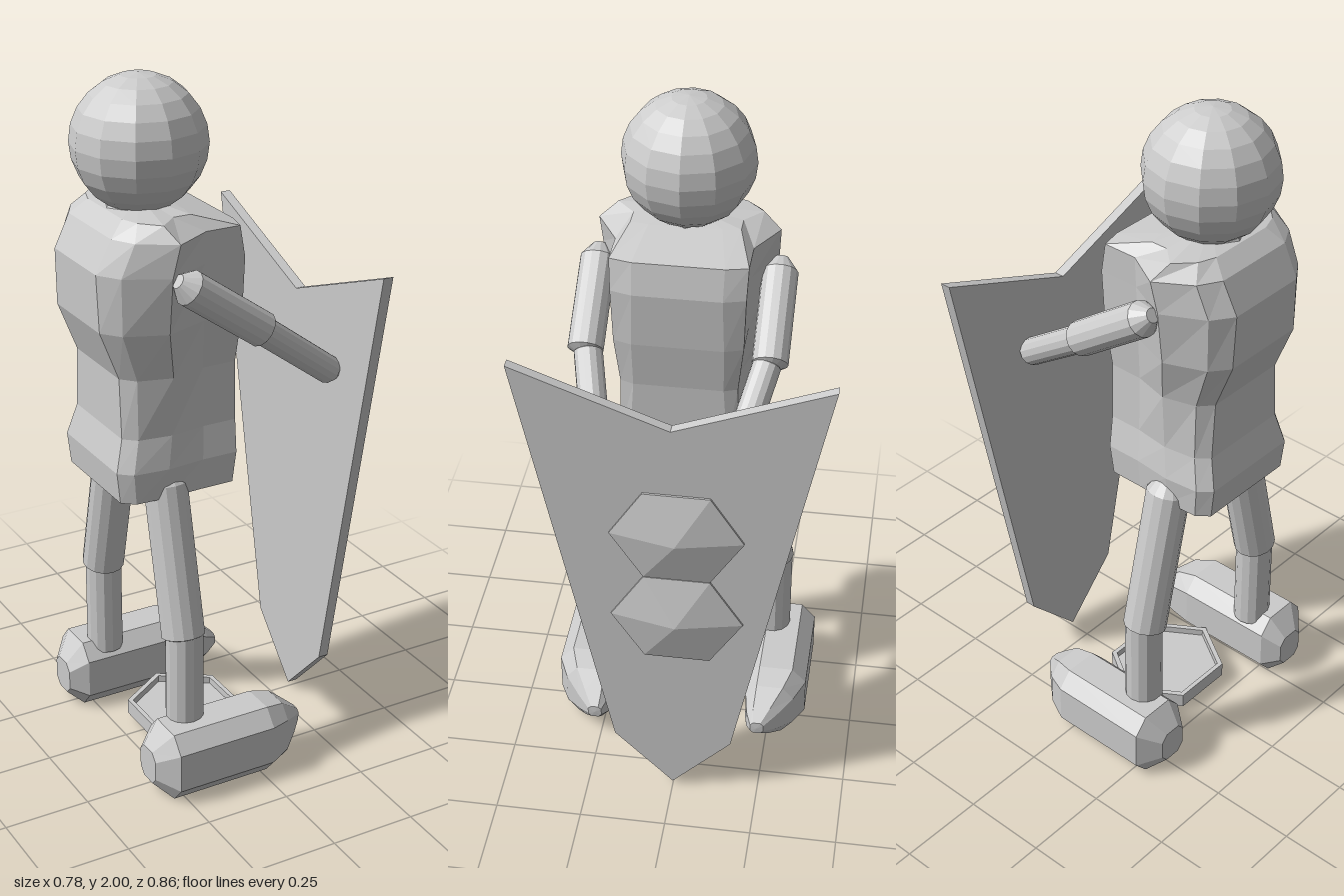
import * as THREE from 'three';

const material = new THREE.MeshStandardMaterial({ color: 0xcccccc, flatShading: true });
const V = (x, y, z) => new THREE.Vector3(x, y, z);

function part(name, geometry) {
  const mesh = new THREE.Mesh(geometry, material);
  mesh.name = name;
  return mesh;
}

// Skin a closed solid through rings of points, each counter-clockwise seen from the far end
function loft(rings, startTip, endTip) {
  const n = rings[0].length, out = [];
  const tri = (...corners) => corners.forEach((c) => out.push(c.x, c.y, c.z));
  for (let r = 0; r + 1 < rings.length; r++) {
    const a = rings[r], b = rings[r + 1];
    for (let i = 0; i < n; i++) {
      const j = (i + 1) % n;
      tri(a[i], a[j], b[j]);
      tri(a[i], b[j], b[i]);
    }
  }
  const first = rings[0], last = rings[rings.length - 1];
  for (let i = 0; i < n; i++) {
    const j = (i + 1) % n;
    tri(startTip, first[j], first[i]);
    tri(endTip, last[i], last[j]);
  }
  const geometry = new THREE.BufferGeometry();
  geometry.setAttribute('position', new THREE.Float32BufferAttribute(out, 3));
  geometry.computeVertexNormals();
  return geometry;
}

// Limb segment from a to b with a tapered cap at each end
function limb(name, a, b, radius, capA, capB) {
  const length = a.distanceTo(b);
  const profile = [[0, 0], [radius * 0.4, 0], [radius, capA], [radius, length - capB], [radius * 0.6, length], [0, length]];
  const mesh = part(name, new THREE.LatheGeometry(profile.map(([r, y]) => new THREE.Vector2(r, y)), 14));
  mesh.position.copy(a);
  mesh.quaternion.setFromUnitVectors(V(0, 1, 0), b.clone().sub(a).normalize());
  return mesh;
}

// Torso: boxy at the hips, pinched at the waist, pointed out to the sides at the shoulders
function torso() {
  // Height, back x, front x, half width, squareness
  const levels = [
    [0.87, -0.345, 0.0, 0.185, 1], [0.96, -0.355, 0.01, 0.195, 0.9], [1.05, -0.33, 0.015, 0.18, 0.8],
    [1.22, -0.33, 0.015, 0.19, 0.5], [1.36, -0.385, 0.03, 0.225, 0.2], [1.52, -0.39, 0.035, 0.245, 0],
    [1.61, -0.345, 0.015, 0.25, 0], [1.65, -0.3, -0.12, 0.2, 0],
  ];
  const rings = levels.map(([y, x0, x1, w, square]) => {
    const face = 0.5 + 0.32 * square, corner = 0.75 + 0.22 * square;
    const half = [[1, face], [0.92, corner], [0.35, corner], [-0.25, 1], [-0.8, corner], [-1, face]];
    const outline = [...half.map(([x, z]) => [x, -z]), ...half.slice().reverse()];
    return outline.map(([x, z]) => V((x0 + x1) / 2 + x * (x1 - x0) / 2, y, 0.028 + z * w));
  });
  return part('torso', loft(rings, V(-0.17, 0.87, 0.028), V(-0.2, 1.67, 0.028)));
}

function foot(name, side) {
  // x, centre height, sideways centre, half height, half width
  const sections = [
    [-0.33, 0.1, 0.275, 0.05, 0.045], [-0.28, 0.108, 0.287, 0.104, 0.091],
    [0.02, 0.108, 0.287, 0.104, 0.091], [0.085, 0.105, 0.275, 0.088, 0.072],
    [0.135, 0.1, 0.257, 0.05, 0.045], [0.17, 0.1, 0.247, 0.02, 0.02],
  ];
  const corners = [[1, 0.55], [0.55, 1], [-0.55, 1], [-1, 0.55], [-1, -0.55], [-0.55, -1], [0.55, -1], [1, -0.55]];
  const rings = sections.map(([x, y, z, h, w]) =>
    corners.map(([u, v]) => V(x, y + u * h, 0.018 + side * z + v * w)));
  return part(name, loft(rings, V(-0.33, 0.1, 0.018 + side * 0.275), V(0.172, 0.1, 0.018 + side * 0.247)));
}

// Hexagon with corners along its first axis, used by the bosses and the tray
function hexagon(radius) {
  return Array.from({ length: 6 }, (_, i) =>
    new THREE.Vector2(radius * Math.cos(i * Math.PI / 3), radius * 0.9 * Math.sin(i * Math.PI / 3)));
}

function shield() {
  const group = new THREE.Group();
  group.name = 'shield';
  const outline = [[0.43, 1.475], [0, 1.31], [-0.43, 1.475], [-0.17, 0.195], [0, 0.018], [0.17, 0.195]];
  // Drawn with u = -z, then turned to face +x
  const shape = new THREE.Shape(outline.map(([z, y]) => new THREE.Vector2(-z, y)));
  const plate = part('shieldPlate', new THREE.ExtrudeGeometry(shape, { depth: 0.03, bevelEnabled: false }));
  plate.rotation.y = Math.PI / 2;
  plate.position.x = 0.311;
  group.add(plate);
  // Low hexagonal pyramids on the outer face
  for (const y of [0.958, 0.668]) {
    const base = hexagon(0.185).map((p) => V(0.335, y + p.y, -0.015 - p.x));
    const rim = base.map((p) => V(0.347, p.y, p.z));
    group.add(part('shieldBoss', loft([base, rim], V(0.335, y, -0.015), V(0.388, y, -0.015))));
  }
  return group;
}

// Shallow hexagonal tray lying between the feet
function tray() {
  const group = new THREE.Group();
  group.name = 'groundTray';
  const rim = new THREE.Shape(hexagon(0.185));
  rim.holes.push(new THREE.Path(hexagon(0.168)));
  const layers = [['trayRim', rim, 0.045], ['trayFloor', new THREE.Shape(hexagon(0.18)), 0.025]];
  for (const [name, shape, depth] of layers) {
    const mesh = part(name, new THREE.ExtrudeGeometry(shape, { depth, bevelEnabled: false }));
    mesh.rotation.set(-Math.PI / 2, 0, Math.PI / 2);
    group.add(mesh);
  }
  group.position.set(-0.064, 0.03, 0.025);
  return group;
}

export function createModel() {
  const model = new THREE.Group();
  model.name = 'shieldBearer';

  const head = part('head', new THREE.SphereGeometry(0.184, 12, 12));
  head.position.set(-0.197, 1.816, 0.028);
  const neck = part('neck', new THREE.CylinderGeometry(0.07, 0.1, 0.06, 8));
  neck.position.set(-0.205, 1.66, 0.028);
  model.add(head, neck, torso(), shield(), tray());

  // The figure faces +x, so its two sides lie along z
  for (const [label, side] of [['near', 1], ['far', -1]]) {
    const arm = (x, y, z) => V(x, y, 0.028 + side * z);
    const leg = (x, y, z) => V(x, y, 0.016 + side * z);
    model.add(
      limb(label + 'UpperArm', arm(-0.22, 1.515, 0.252), arm(0.04, 1.33, 0.252), 0.05, 0.04, 0.01),
      limb(label + 'Forearm', arm(0.02, 1.343, 0.248), arm(0.313, 1.125, 0.17), 0.04, 0.02, 0.025),
      limb(label + 'Thigh', leg(-0.2, 0.95, 0.135), leg(-0.2, 0.455, 0.25), 0.062, 0.06, 0.012),
      limb(label + 'Shin', leg(-0.198, 0.5, 0.25), leg(-0.198, 0.17, 0.25), 0.054, 0.02, 0.01),
      foot(label + 'Foot', side),
    );
  }
  return model;
}
